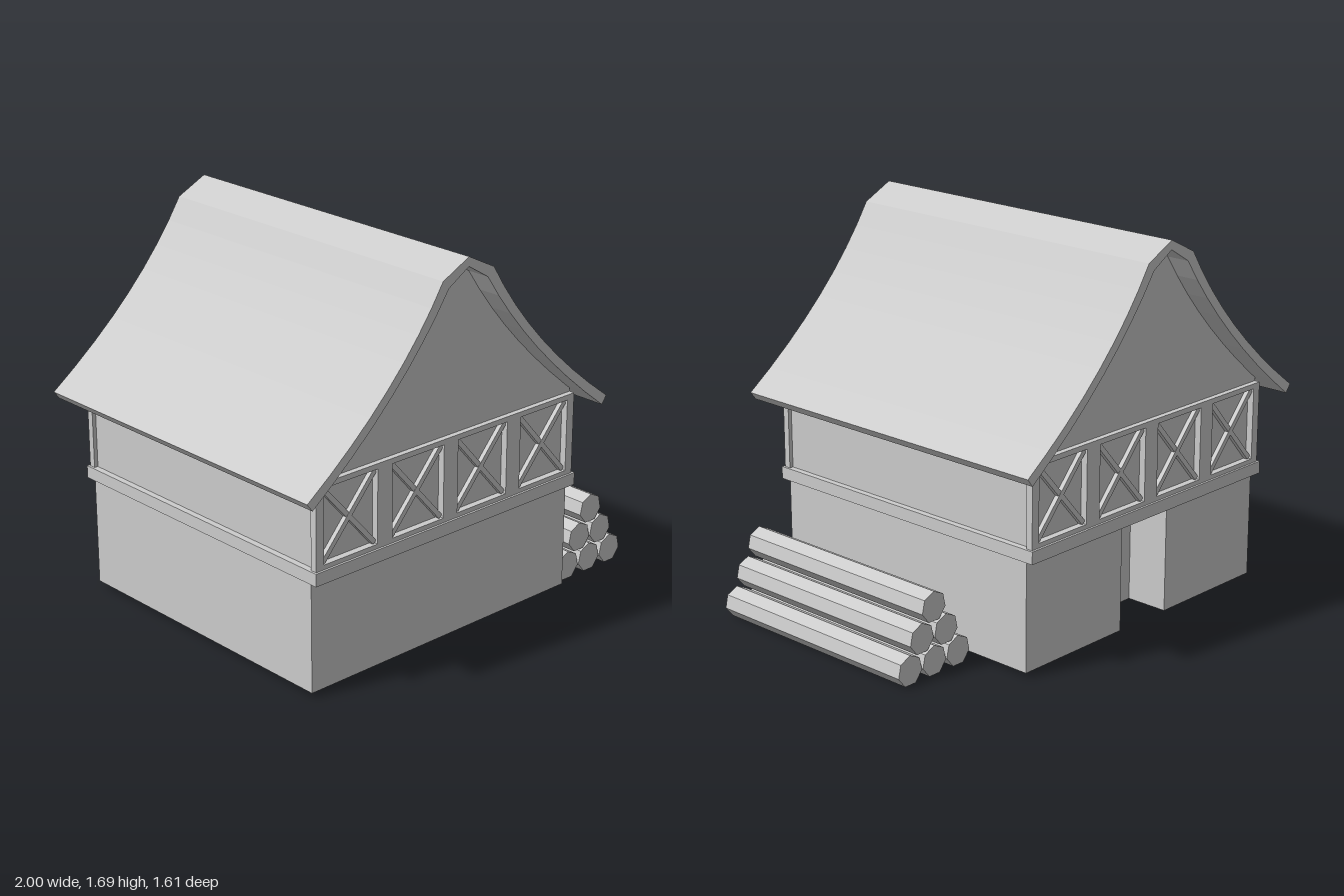
import * as THREE from 'three';

export function createModel() {
  const model = new THREE.Group();
  const grey = new THREE.MeshStandardMaterial({ color: 0xcccccc });
  grey.name = 'plain grey';
  grey.side = THREE.DoubleSide;

  const CX = -0.158, HX = 0.728, HZ = 0.695;
  const house = new THREE.Group();
  house.name = 'house';
  house.position.x = CX;
  model.add(house);

  const add = (name, geometry, parent = house) => {
    const mesh = new THREE.Mesh(geometry, grey);
    mesh.name = name;
    parent.add(mesh);
    return mesh;
  };
  const shapeOf = (pts) => new THREE.Shape(pts.map(([x, y]) => new THREE.Vector2(x, y)));
  const extrude = (shape, depth) =>
    new THREE.ExtrudeGeometry(shape, { depth, bevelEnabled: false });
  const rect = (x, y) => [[-x, -y], [x, -y], [x, y], [-x, y]];

  // Thin upright walls following a closed footprint of [x, z] points
  function wallShell(points, y0, y1) {
    const pos = [];
    points.forEach(([ax, az], i) => {
      const [bx, bz] = points[(i + 1) % points.length];
      pos.push(ax, y0, az, bx, y0, bz, bx, y1, bz, ax, y0, az, bx, y1, bz, ax, y1, az);
    });
    const g = new THREE.BufferGeometry();
    g.setAttribute('position', new THREE.Float32BufferAttribute(pos, 3));
    g.computeVertexNormals();
    return g;
  }

  // Ground floor, with a doorway recess in the back wall
  const D = 0.145, RZ = -0.5;
  add('lowerWalls', wallShell([
    [-HX, HZ], [HX, HZ], [HX, -HZ], [D, -HZ], [D, RZ], [-D, RZ], [-D, -HZ], [-HX, -HZ],
  ].reverse(), 0.02, 0.5));
  const lintel = add('doorwayCeiling', new THREE.PlaneGeometry(2 * D, HZ + RZ));
  lintel.rotation.x = Math.PI / 2;
  lintel.position.set(0, 0.5, (RZ - HZ) / 2);

  // Beam running round the house between the floors
  const beamShape = shapeOf(rect(0.738, 0.735));
  beamShape.holes.push(new THREE.Path(rect(0.705, 0.69).map(([x, y]) => new THREE.Vector2(x, y))));
  const beam = add('floorBeam', extrude(beamShape, 0.055));
  beam.rotation.x = -Math.PI / 2;
  beam.position.y = 0.5;

  // Upper floor
  add('upperWalls', wallShell(rect(HX - 0.018, HZ), 0.5, 0.925));

  // Timber frame with four crossed panels, on the front and the back
  const W = 0.284, Y0 = 0.575, Y1 = 0.895;
  const centres = [-1.5, -0.5, 0.5, 1.5].map((k) => k * 0.364);
  const frameShape = shapeOf([[-HX, 0.555], [HX, 0.555], [HX, 0.918], [-HX, 0.918]]);
  for (const c of centres) {
    frameShape.holes.push(new THREE.Path([
      [c - W / 2, Y0], [c - W / 2, Y1], [c + W / 2, Y1], [c + W / 2, Y0],
    ].map(([x, y]) => new THREE.Vector2(x, y))));
  }

  // Roof line: a ridge cap, then a sweep out to the eaves
  const sweep = (ridge, a, b, c) => {
    const half = new THREE.QuadraticBezierCurve(
      new THREE.Vector2(...a), new THREE.Vector2(...b), new THREE.Vector2(...c),
    ).getPoints(8).map((p) => [p.x, p.y]);
    return [...half.map(([x, y]) => [-x, y]).reverse(), [0, ridge], ...half];
  };
  const outer = sweep(1.69, [0.14, 1.62], [0.369, 1.24], [0.842, 0.9]);
  const inner = sweep(1.65, [0.107, 1.585], [0.346, 1.219], [0.815, 0.865]);
  add('roof', extrude(shapeOf([...outer, ...[...inner].reverse()]), 1.61)).position.z = -0.805;

  // Gable outline under the roof
  const gablePts = [[-HX, 0.918], [-HX, 0.933],
    ...inner.filter(([x]) => Math.abs(x) < 0.72), [HX, 0.933], [HX, 0.918]];

  for (const [side, turn] of [['front', 0], ['back', Math.PI]]) {
    const end = new THREE.Group();
    end.name = side + 'End';
    end.rotation.y = turn;
    house.add(end);
    add('timberFrame', extrude(frameShape, 0.03), end).position.z = HZ;
    add('gable', new THREE.ShapeGeometry(shapeOf(gablePts)), end).position.z = 0.7;
    for (const c of centres) {
      for (const s of [-1, 1]) {
        const brace = add('crossBrace',
          new THREE.BoxGeometry(Math.hypot(W, Y1 - Y0) - 0.015, 0.022, 0.02), end);
        brace.position.set(c, (Y0 + Y1) / 2, HZ + 0.01 + s * 0.0005);
        brace.rotation.z = s * Math.atan2(Y1 - Y0, W);
      }
    }
  }

  // Stack of seven-sided logs beside the house
  const logs = new THREE.Group();
  logs.name = 'logPile';
  model.add(logs);
  const logGeometry = new THREE.CylinderGeometry(0.067, 0.067, 1.05, 7).toNonIndexed();
  logGeometry.computeVertexNormals();
  logGeometry.rotateX(-Math.PI / 2);
  for (let row = 0; row < 3; row++) {
    for (let i = 0; i < 3 - row; i++) {
      add('log', logGeometry, logs).position.set(
        0.797 + (i - (2 - row) / 2) * 0.136, 0.0605 + row * 0.117, 0.12);
    }
  }
  return model;
}
